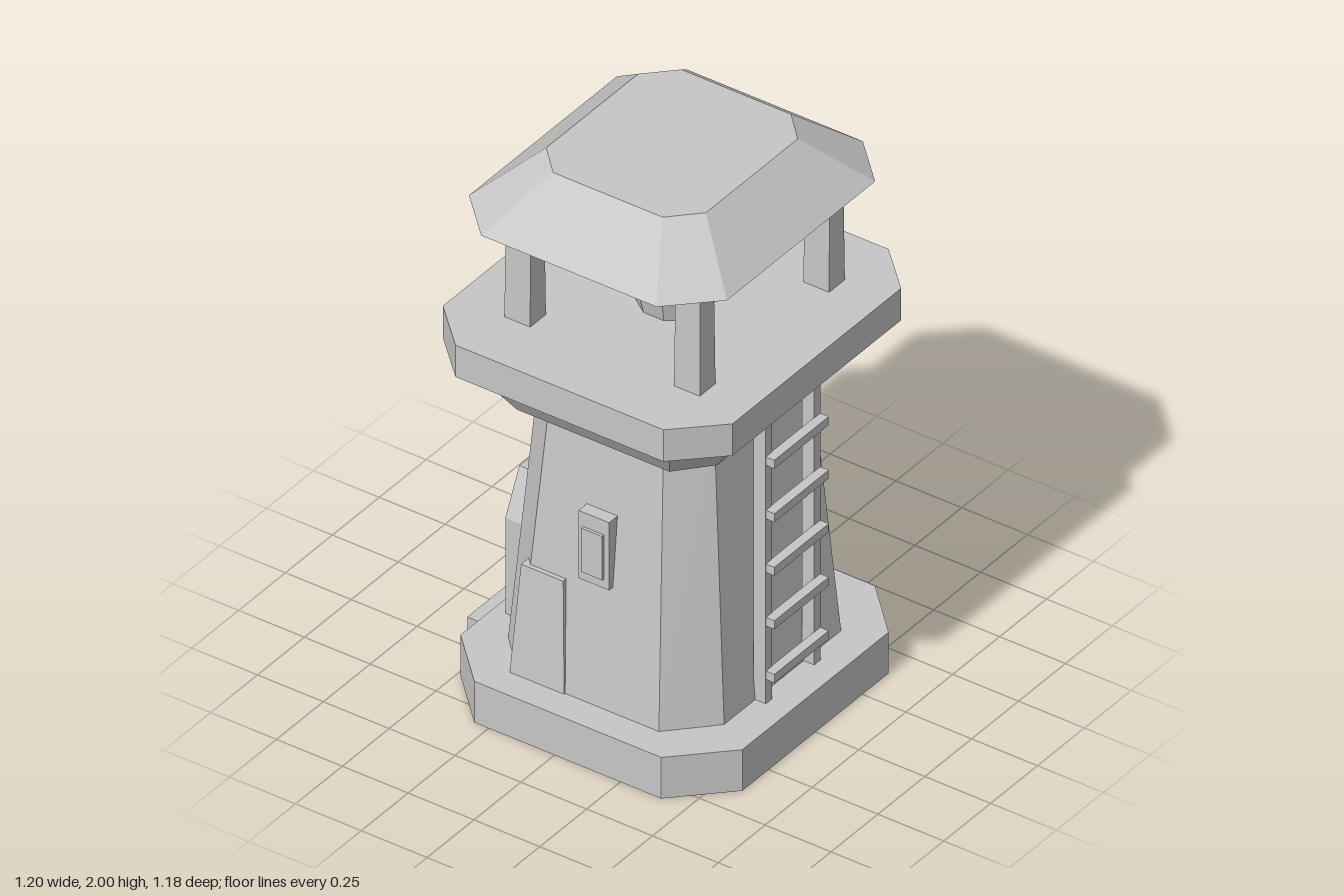
import * as THREE from 'three';

const stone = new THREE.MeshStandardMaterial({ color: 0xc6c6c6, flatShading: true, side: THREE.DoubleSide });
stone.name = 'stone grey';

// Skin between equal-length rings of [x, y, z], with optional end caps
function loft(rings, capStart = true, capEnd = true) {
  const pos = [];
  const n = rings[0].length;
  const tri = (a, b, c) => pos.push(...a, ...b, ...c);
  for (let r = 0; r < rings.length - 1; r++) {
    for (let i = 0; i < n; i++) {
      const j = (i + 1) % n;
      const lo = rings[r], hi = rings[r + 1];
      tri(lo[i], lo[j], hi[j]);
      tri(lo[i], hi[j], hi[i]);
    }
  }
  const first = rings[0], last = rings[rings.length - 1];
  for (let i = 1; i < n - 1; i++) {
    if (capStart) tri(first[0], first[i + 1], first[i]);
    if (capEnd) tri(last[0], last[i], last[i + 1]);
  }
  const g = new THREE.BufferGeometry();
  g.setAttribute('position', new THREE.Float32BufferAttribute(pos, 3));
  g.computeVertexNormals();
  return g;
}

// Rectangle with cut corners: half sizes hx, hz; flat half lengths fx, fz; centre depth cz
function octagon(y, hx, fx, hz, fz, cz) {
  return [[hx, fz], [hx, -fz], [fx, -hz], [-fx, -hz], [-hx, -fz], [-hx, fz], [-fx, hz], [fx, hz]]
    .map(([x, z]) => [x, y, z + cz]);
}

// Rectangle ring at height y
function rect(y, x0, x1, z0, z1) {
  return [[x1, y, z1], [x1, y, z0], [x0, y, z0], [x0, y, z1]];
}

export function createModel() {
  const model = new THREE.Group();
  model.name = 'watchtower';

  function add(name, geometry, x = 0, y = 0, z = 0, parent = model) {
    const mesh = new THREE.Mesh(geometry, stone);
    mesh.name = name;
    mesh.position.set(x, y, z);
    parent.add(mesh);
    return mesh;
  }
  // Box given by its limits
  function box(name, x0, x1, y0, y1, z0, z1, parent = model) {
    return add(name, new THREE.BoxGeometry(x1 - x0, y1 - y0, z1 - z0),
      (x0 + x1) / 2, (y0 + y1) / 2, (z0 + z1) / 2, parent);
  }

  // Main body, from the ground up; plinth and roof are open underneath
  add('plinth', loft([
    octagon(0, 0.57, 0.39, 0.535, 0.355, 0.05),
    octagon(0.155, 0.57, 0.39, 0.535, 0.355, 0.05)], false, true));
  add('towerWall', loft([
    octagon(0.155, 0.46, 0.312, 0.41, 0.268, 0.05),
    octagon(1.135, 0.365, 0.255, 0.335, 0.217, 0.05)], false, false));
  add('corbel', loft([
    octagon(1.13, 0.435, 0.32, 0.39, 0.29, 0.05),
    octagon(1.3, 0.545, 0.39, 0.515, 0.372, 0.045)]));
  add('deck', loft([
    octagon(1.3, 0.6, 0.45, 0.55, 0.395, 0.04),
    octagon(1.42, 0.6, 0.45, 0.55, 0.395, 0.04)]));
  add('roof', loft([
    octagon(1.83, 0.55, 0.395, 0.49, 0.333, 0.04),
    octagon(2.0, 0.342, 0.245, 0.303, 0.208, 0.04)], false, true));
  box('doorstep', -0.2, 0.2, 0, 0.07, -0.595, -0.485);

  // Slightly tapered roof posts
  for (const x of [-0.345, 0.345]) {
    for (const z of [-0.272, 0.372]) {
      add('roofPost', loft([
        rect(1.42, x - 0.042, x + 0.042, z - 0.049, z + 0.049),
        rect(1.88, x - 0.036, x + 0.036, z - 0.046, z + 0.046)]));
    }
  }

  // Beacon: flared bowl with a tall flame
  add('beaconBowl', new THREE.CylinderGeometry(0.168, 0.125, 0.18, 10), 0, 1.51, 0.055);
  add('beaconFlame', new THREE.CylinderGeometry(0.045, 0.125, 0.19, 10), 0, 1.695, 0.055);

  // Ladder on the front
  const ladder = new THREE.Group();
  ladder.name = 'ladder';
  model.add(ladder);
  for (const x of [-0.129, 0.129]) {
    box('ladderRail', x - 0.017, x + 0.017, 0.153, 1.2, 0.453, 0.5, ladder);
  }
  for (let i = 0; i < 5; i++) {
    const y = 0.262 + i * 0.202;
    box('ladderRung', -0.145, 0.145, y - 0.016, y + 0.016, 0.498, 0.532, ladder);
  }

  // Windows and leaning buttresses, mirrored on both sides
  for (const s of [-1, 1]) {
    const span = (a, b) => (s > 0 ? [a, b] : [-b, -a]);
    box('windowFrame', ...span(0.38, 0.438), 0.592, 0.847, -0.003, 0.113);
    box('windowPane', ...span(0.4, 0.448), 0.628, 0.793, 0.014, 0.094);
    add('buttress', loft([
      rect(0.02, ...span(0.3, 0.476), -0.252, -0.03),
      rect(0.555, ...span(0.34, 0.437), -0.222, -0.062)]));
  }

  // Doorway on the back: frame with a recessed door
  const arch = (w, y1, wTop, y2) => [[-w, 0.155], [w, 0.155], [w, y1], [wTop, y2], [-wTop, y2], [-w, y1]]
    .map(([x, y]) => new THREE.Vector2(x, y));
  const frame = new THREE.Shape(arch(0.215, 0.515, 0.14, 0.67));
  frame.holes.push(new THREE.Path(arch(0.155, 0.495, 0.105, 0.605).reverse()));
  add('doorFrame', new THREE.ExtrudeGeometry(frame, { depth: 0.16, bevelEnabled: false }), 0, 0, -0.44);
  add('door', new THREE.ExtrudeGeometry(new THREE.Shape(arch(0.16, 0.495, 0.108, 0.608)),
    { depth: 0.12, bevelEnabled: false }), 0, 0, -0.41);
  box('doorSeam', -0.005, 0.005, 0.155, 0.56, -0.417, -0.409);
  box('doorHandle', -0.05, -0.015, 0.325, 0.35, -0.435, -0.405);
  box('doorHandlePlate', -0.03, -0.012, 0.31, 0.365, -0.42, -0.405);

  // Plain shield above the door
  const shield = (k, z) => [[0.115, 0.92], [0, 0.79], [-0.115, 0.92], [-0.12, 1.03], [-0.1, 1.08], [0.1, 1.08], [0.12, 1.03]]
    .map(([x, y]) => [x * k, 0.94 + (y - 0.94) * k, z]);
  add('shield', loft([shield(1, -0.325), shield(0.86, -0.367)]));

  // Small lantern beside the door
  const lantern = new THREE.Group();
  lantern.name = 'lantern';
  lantern.position.set(0.335, 0.155, -0.337);
  model.add(lantern);
  box('lanternFoot', -0.048, 0.048, 0, 0.038, -0.048, 0.048, lantern);
  box('lanternBody', -0.033, 0.033, 0.038, 0.13, -0.033, 0.033, lantern);
  const cap = new THREE.CylinderGeometry(0.025, 0.068, 0.04, 4);
  cap.rotateY(Math.PI / 4);
  add('lanternCap', cap, 0, 0.147, 0, lantern);

  return model;
}
